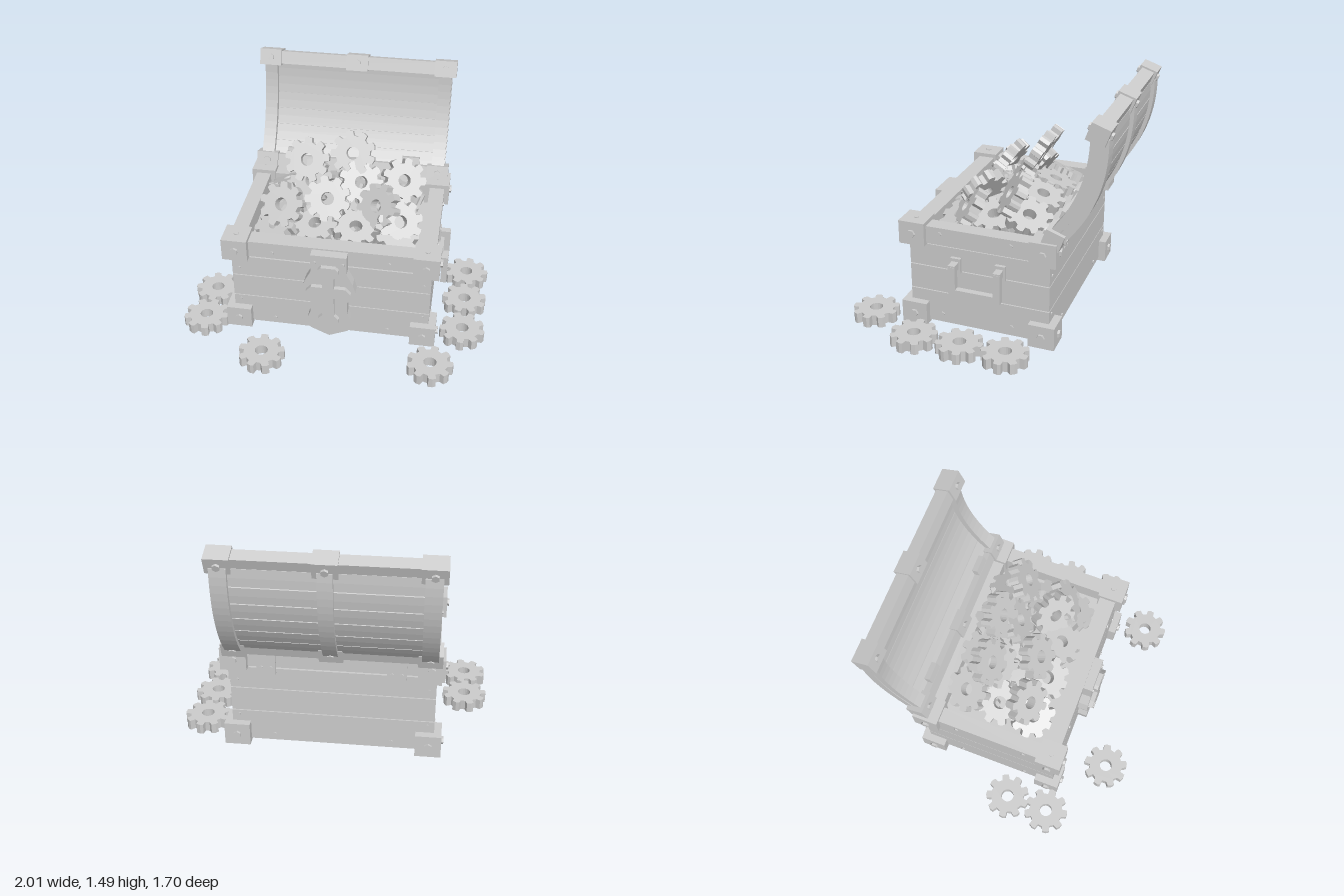
import * as THREE from 'three';

const grey = new THREE.MeshStandardMaterial({ color: 0xcccccc });
grey.name = 'plain grey';

function add(parent, geo, name, x = 0, y = 0, z = 0) {
  const m = new THREE.Mesh(geo, grey);
  m.name = name;
  m.position.set(x, y, z);
  parent.add(m);
  return m;
}
const box = (p, name, w, h, d, x, y, z) => add(p, new THREE.BoxGeometry(w, h, d), name, x, y, z);

// Hexagonal bolt head whose axis follows the given direction
function bolt(p, x, y, z, dx, dy, dz, r = 0.026, len = 0.03) {
  const geo = new THREE.CylinderGeometry(r, r, len, 6).toNonIndexed();
  geo.computeVertexNormals();
  const m = add(p, geo, 'bolt', x, y, z);
  m.quaternion.setFromUnitVectors(new THREE.Vector3(0, 1, 0), new THREE.Vector3(dx, dy, dz));
}

const outline = (pts) => new THREE.Shape(pts.map(([x, y]) => new THREE.Vector2(x, y)));
const mirrored = (half) => outline([...half, ...half.slice().reverse().map(([x, y]) => [-x, y])]);
const extrude = (shape, depth) => new THREE.ExtrudeGeometry(shape, { depth, bevelEnabled: false, curveSegments: 10 });

// Cogwheel with nine teeth and a round bore
function gearGeometry() {
  const pts = [];
  for (let i = 0; i < 9; i++) {
    for (const [f, r] of [[0, 0.112], [0.36, 0.116], [0.46, 0.146], [0.72, 0.15], [0.92, 0.146]]) {
      const a = ((i + f) / 9) * Math.PI * 2;
      pts.push([Math.cos(a) * r, Math.sin(a) * r]);
    }
  }
  const s = outline(pts);
  s.holes.push(new THREE.Path().absarc(0, 0, 0.042, 0, Math.PI * 2, true));
  return extrude(s, 0.07).translate(0, 0, -0.035);
}

// Curved lid slab between u0 and u1 along the chord, v0 to v1 thick, w wide
function lidSlab(p, name, u0, u1, v0, v1, x, w) {
  const arc = (u, v) => [v + 0.075 * (1 - (u / 0.36) ** 2), u];
  const n = Math.max(2, Math.round((u1 - u0) / 0.05));
  const inner = [], outer = [];
  for (let i = 0; i <= n; i++) {
    const u = u0 + ((u1 - u0) * i) / n;
    outer.push(arc(u, v1));
    inner.unshift(arc(u, v0));
  }
  const g = extrude(outline([...outer, ...inner]), w).translate(0, 0, -w / 2).rotateY(Math.PI / 2);
  add(p, g, name, x);
}

function buildChest() {
  const g = new THREE.Group();
  g.name = 'chest';
  box(g, 'chestCore', 1.26, 0.5, 0.88, 0, 0.29, 0);
  // Three planks on each wall, with narrow grooves between
  for (const [y0, y1] of [[0.035, 0.247], [0.253, 0.417], [0.423, 0.572]]) {
    const h = y1 - y0, y = (y0 + y1) / 2;
    for (const s of [-1, 1]) {
      box(g, 'wallPlank', 1.29, h, 0.05, 0, y, s * 0.43);
      box(g, 'endPlank', 0.05, h, 0.86, s * 0.62, y, 0);
    }
  }
  for (const s of [-1, 1]) {
    // Rim beams
    box(g, 'rimBeam', 1.3, 0.115, 0.11, 0, 0.6425, s * 0.405);
    box(g, 'rimEndBeam', 0.1, 0.115, 0.8, s * 0.61, 0.6425, 0);
    // Small nails along the walls
    for (const x of [-0.375, 0.375]) {
      bolt(g, x, 0.63, s * 0.46, 0, 0, s, 0.013, 0.016);
      bolt(g, x, 0.08, s * 0.455, 0, 0, s, 0.013, 0.016);
    }
    for (const z of [-0.215, 0.245]) {
      bolt(g, s * 0.66, 0.66, z, s, 0, 0, 0.013, 0.016);
      bolt(g, s * 0.645, 0.095, z, s, 0, 0, 0.013, 0.016);
    }
    for (const x of [-0.6, 0.6]) for (const y of [0.22, 0.48]) bolt(g, x, y, s * 0.455, 0, 0, s, 0.01, 0.014);
  }
  // Corner blocks with bolts
  for (const sx of [-1, 1]) for (const sz of [-1, 1]) {
    for (const y of [0.092, 0.65]) {
      box(g, 'cornerBlock', 0.165, 0.152, 0.168, sx * 0.61, y, sz * 0.42);
      bolt(g, sx * 0.61, y, sz * 0.504, 0, 0, sz);
      bolt(g, sx * 0.692, y, sz * 0.42, sx, 0, 0);
    }
    bolt(g, sx * 0.61, 0.726, sz * 0.42, 0, 1, 0, 0.018, 0.012);
  }
  // Hinge plates on the back
  for (const x of [-0.4, 0.41]) {
    box(g, 'hingePlate', 0.12, 0.17, 0.02, x, 0.63, -0.467);
    for (const d of [-0.03, 0.03]) bolt(g, x + d, 0.59, -0.478, 0, 0, -1, 0.014, 0.014);
  }
  // Lock plate and raised cross
  const plate = mirrored([[0.115, 0.69], [0.115, 0.56], [0.155, 0.48], [0.172, 0.42],
    [0.155, 0.36], [0.12, 0.33], [0.12, 0.23], [0.14, 0.18], [0.125, 0.09], [0, 0.035]].slice(0, -1).concat([[0.004, 0.035]]));
  add(g, extrude(plate, 0.07), 'lockPlate', 0, 0, 0.45);
  const cross = mirrored([[0.045, 0.62], [0.065, 0.6], [0.065, 0.57], [0.038, 0.54], [0.038, 0.46], [0.11, 0.46],
    [0.145, 0.42], [0.11, 0.38], [0.038, 0.38], [0.038, 0.23], [0.068, 0.2], [0.068, 0.17], [0.045, 0.15]]);
  add(g, extrude(cross, 0.03), 'lockCross', 0, 0, 0.52);
  for (const x of [-0.09, 0.09]) bolt(g, x, 0.635, 0.523, 0, 0, 1, 0.013, 0.012);

  // Carrying handle on the left end
  for (const z of [-0.147, 0.143]) {
    box(g, 'handleBracket', 0.025, 0.1, 0.065, 0.655, 0.465, z);
    box(g, 'handleArm', 0.07, 0.045, 0.045, 0.695, 0.472, z);
    box(g, 'handleSide', 0.04, 0.19, 0.045, 0.712, 0.39, z);
  }
  box(g, 'handleGrip', 0.04, 0.045, 0.335, 0.712, 0.312, -0.002);
  g.position.set(-0.01, 0, -0.06);
  return g;
}

function buildLid() {
  const g = new THREE.Group();
  g.name = 'lid';
  // Planks over a thin backing
  lidSlab(g, 'lidBacking', -0.35, 0.35, -0.005, 0.025, 0, 1.2);
  for (let i = 0; i < 6; i++) {
    const u = -0.34 + (i * 0.68) / 6;
    lidSlab(g, 'lidPlank', u + 0.003, u + 0.11, -0.015, 0.035, 0, 1.2);
  }
  // End straps and middle rib
  for (const s of [-1, 1]) {
    lidSlab(g, 'lidEndFrame', -0.35, 0.35, -0.055, 0.02, s * 0.6, 0.085);
    lidSlab(g, 'lidEndStrap', -0.35, 0.35, 0, 0.06, s * 0.597, 0.1);
  }
  lidSlab(g, 'lidMiddleRib', -0.35, 0.35, 0, 0.06, 0, 0.09);
  // Beams and blocks on both edges
  for (const s of [-1, 1]) {
    box(g, 'lidBeam', 1.32, 0.085, 0.085, 0, s * 0.36, 0);
    for (const x of [-0.6, 0, 0.6]) {
      box(g, 'lidBlock', 0.148, 0.108, 0.118, x, s * 0.36, 0);
      for (const d of [-1, 1]) bolt(g, x, s * 0.36, d * 0.06, 0, 0, d, 0.024);
    }
  }
  for (const x of [-0.4, 0.41]) box(g, 'hingeLeaf', 0.12, 0.07, 0.04, x, -0.3, 0.02);
  g.rotation.x = -0.345;
  g.position.set(-0.01, 1.085, -0.654);
  return g;
}

function buildGears() {
  const g = new THREE.Group();
  g.name = 'gears';
  const geo = gearGeometry();
  // Places a gear with its face turned towards the given direction
  const gear = (name, x, y, z, nx, ny, nz) => {
    const m = add(g, geo, name, x, y, z);
    m.quaternion.setFromUnitVectors(new THREE.Vector3(0, 0, 1), new THREE.Vector3(nx, ny, nz).normalize());
    m.rotateZ(g.children.length * 0.23);
  };
  // Loose on the ground
  for (const [x, z] of [[0.855, -0.315], [0.855, -0.02], [0.855, 0.285], [0.67, 0.64],
    [-0.41, 0.705], [-0.855, 0.135], [-0.855, 0.42]]) gear('looseGear', x, 0.035, z, 0, 1, 0);
  // Heap: flat gears at the bottom, then a domed layer tilting outwards
  for (const x of [-0.28, 0, 0.28]) gear('bottomGear', x, 0.6, -0.04, 0, 1, 0.1);
  for (const x of [-0.405, -0.145, 0.115, 0.375]) {
    for (const z of [-0.29, -0.07, 0.15]) {
      gear('heapGear', x, 0.72 - 0.25 * x * x - 0.14 * z, z, x * 0.9, 0.9, (z + 0.08) * 1.5);
    }
  }
  // Upper gears leaning back, each given by its centre and sideways turn
  for (const [x, y, z, turn] of [[-0.26, 0.97, -0.2, 0], [0.04, 1.025, -0.24, 0], [0.38, 0.87, -0.2, 0.35],
    [-0.37, 0.8, 0.1, -0.2], [-0.08, 0.85, 0.06, 0.05], [0.25, 0.82, 0.05, -0.55], [0.39, 0.74, 0.09, 0.4],
    [-0.22, 0.83, -0.16, -0.2], [0.1, 0.86, -0.15, 0.3]]) gear('leaningGear', x, y, z, turn, 1.1 - 0.62 * y, 0.82);
  return g;
}

export function createModel() {
  const model = new THREE.Group();
  model.name = 'chestOfGears';
  model.add(buildChest(), buildLid(), buildGears());
  return model;
}
